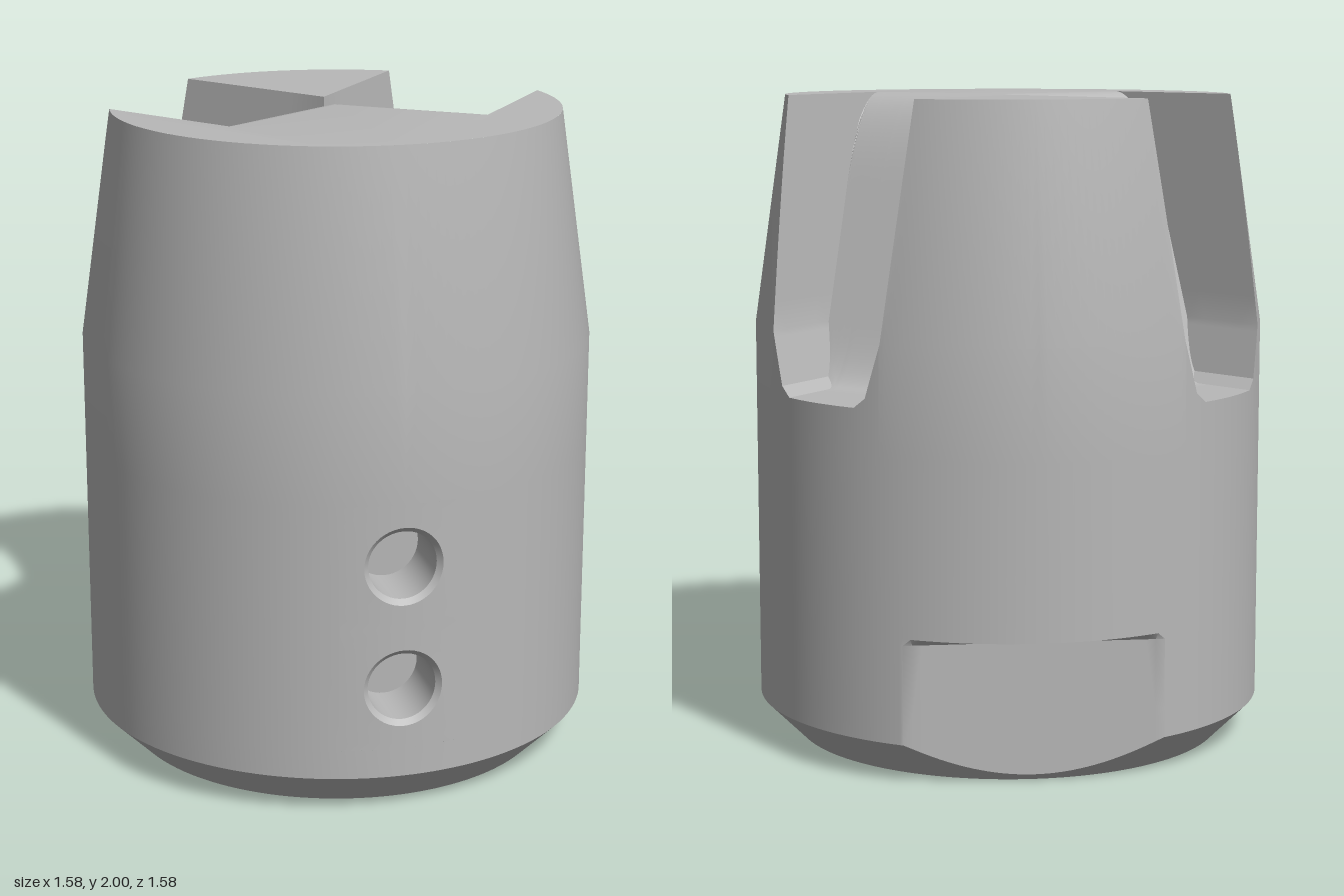
import * as THREE from 'three';
import { mergeGeometries, toCreasedNormals } from 'three/addons/utils/BufferGeometryUtils.js';

const R = 0.79, R_TOP = 0.69, H = 2, SHOULDER = 1.3, CHAMFER = 0.12;
const FLAT_Z = 0.69, FLAT_H = 0.44;           // milled flat at the back
const MID = 0.198, HALF = 0.288, BED = 1.11;  // channel centre offset, half width, bed height
const HOLE_SIDE = 0.19, HOLE_Y = [0.4, 0.78];

const lerp = THREE.MathUtils.lerp;
const steps = (a, b, n) => Array.from({ length: n + 1 }, (_, i) => lerp(a, b, i / n));
const radiusAt = y => y <= SHOULDER ? R : lerp(R, R_TOP, (y - SHOULDER) / (H - SHOULDER));

// Surface through rows of points
function grid(rows) {
  const pos = rows.flat(2), index = [], n = rows[0].length;
  for (let i = 0; i < rows.length - 1; i++)
    for (let j = 0; j < n - 1; j++) {
      const a = i * n + j, b = a + n;
      index.push(a, b, b + 1, a, b + 1, a + 1);
    }
  const g = new THREE.BufferGeometry();
  g.setAttribute('position', new THREE.Float32BufferAttribute(pos, 3));
  g.setIndex(index);
  return g;
}

function plain(g) {
  const out = g.index ? g.toNonIndexed() : g;
  for (const name of Object.keys(out.attributes)) if (name !== 'position') out.deleteAttribute(name);
  return out;
}

// Copy reflected in x, with the corner order turned round
function mirrored(g) {
  const m = plain(g).clone(), p = m.attributes.position;
  const v = [new THREE.Vector3(), new THREE.Vector3(), new THREE.Vector3()];
  for (let i = 0; i < p.count; i += 3) {
    v.forEach((q, k) => q.fromBufferAttribute(p, i + k));
    [0, 2, 1].forEach((k, j) => p.setXYZ(i + j, -v[k].x, v[k].y, v[k].z));
  }
  return m;
}

const join = list => toCreasedNormals(mergeGeometries(list.map(plain)), 0.5);
const bothSides = list => list.flatMap(g => [plain(g), mirrored(g)]);

// Channel bed height along its length: flat top, rounded lip, ramp, level bed
function bedHeight(s) {
  const smin = (a, b, k) => Math.min(a, b) - Math.max(k - Math.abs(a - b), 0) ** 2 / (4 * k);
  const ramp = smin(H, H - 2.6 * (s - 0.1), 0.26);
  return -smin(-ramp, -BED, 0.16);
}

// Channel side wall, as [distance from the middle, height]
const WALL = [[0, BED], [0.14, BED], [0.18, 1.14], [0.232, 1.3], [HALF, H]];
function wallHeight(t) {
  const w = Math.abs(t - MID);
  for (let i = 1; i < WALL.length; i++)
    if (w <= WALL[i][0] + 1e-9)
      return lerp(WALL[i - 1][1], WALL[i][1], (w - WALL[i - 1][0]) / (WALL[i][0] - WALL[i - 1][0]));
  return H;
}
const channelPoint = (s, t, y) => [0.6 * s + 0.8 * t, y, -0.8 * s + 0.6 * t];

function channelRows() {
  const half = [];
  for (let i = 1; i < WALL.length; i++) half.push(...steps(WALL[i - 1][0], WALL[i][0], 8).slice(1));
  const ts = [...half.map(w => MID - w).reverse(), MID, ...half.map(w => MID + w)];
  return ts.map(t => {
    const wall = wallHeight(t);
    const s1 = Math.sqrt(radiusAt(wall) ** 2 - t * t), s0 = Math.max(0, -t * 4 / 3);
    let lo = 0, hi = s1;                       // where the bed runs into the wall
    for (let k = 0; k < 40; k++) {
      const m = (lo + hi) / 2;
      if (bedHeight(m) > wall + 1e-4) lo = m; else hi = m;
    }
    const meet = Math.min(Math.max(lo, s0), s1);
    return [...steps(s0, meet, 24), ...steps(meet, s1, 4).slice(1)]
      .map(s => channelPoint(s, t, Math.max(bedHeight(s), wall)));
  });
}

// One column of the outer wall at an angle measured from the front
function wallColumn(angle, top, from = 0, to = H) {
  const limit = Math.cos(angle) < 0 ? FLAT_Z / -Math.cos(angle) : 9;
  const start = Math.min(CHAMFER, Math.max(0, limit - R + CHAMFER));
  const levels = [[0, 1], [start, 1], [CHAMFER, 1], [0.21, 1], [0.42, 1], [FLAT_H, 1, -0.02], [FLAT_H, 0],
    [0.97, 0], [Math.min(SHOULDER, top), 0], [top, 0]];
  return levels.filter(l => l[0] >= from && l[0] <= to).map(([y, cut, lift = 0]) => {
    let r = y < CHAMFER ? R - CHAMFER + y : radiusAt(y);
    if (cut) r = Math.min(r, limit - lift);
    if (lift) r = Math.min(r, R);
    return [r * Math.sin(angle), y, r * Math.cos(angle)];
  });
}

// Curved square of the front wall with a chamfered blind hole in it
function frontHole(cy) {
  const onWall = x => Math.sqrt(R * R - x * x);
  return grid(steps(0, Math.PI * 2, 48).map(a => {
    const c = Math.cos(a), s = Math.sin(a);
    const edge = HOLE_SIDE / Math.max(Math.abs(c), Math.abs(s));
    const at = (r, z) => [r * c, cy + r * s, z ?? onWall(r * c)];
    return [...steps(edge, 0.12, 4).map(r => at(r)), at(0.104, onWall(0.12 * c) - 0.016),
      at(0.104, 0.57), at(0, 0.57)];
  }));
}

// Flat face from an outline of [x, z] points
function face(points, holes = []) {
  const shape = new THREE.Shape(points.map(([x, z]) => new THREE.Vector2(x, -z)));
  for (const [x, z, r] of holes) shape.holes.push(new THREE.Path().absarc(x, -z, r, 0, Math.PI * 2, true));
  return new THREE.ShapeGeometry(shape, 24).rotateX(-Math.PI / 2);
}

export function createModel() {
  const group = new THREE.Group();
  const steel = new THREE.MeshStandardMaterial({ color: 0xb8b8b8 });
  steel.name = 'steel grey';
  const add = (name, geometry) => {
    const mesh = new THREE.Mesh(geometry, steel);
    mesh.name = name;
    group.add(mesh);
    return mesh;
  };

  const rows = channelRows();
  const rim = rows.map(r => r[r.length - 1]).reverse();
  const rimAngles = rim.map(p => Math.atan2(p[0], p[2]));
  const firstAngle = rimAngles[0], lastAngle = rimAngles[rim.length - 1];
  const holeAngle = Math.asin(HOLE_SIDE / R);

  // Outer wall, with the channel mouths cut into its upper edge
  const columns = [
    ...steps(holeAngle, firstAngle, 28).slice(0, -1).map(a => wallColumn(a, H)),
    ...rim.map((p, i) => wallColumn(rimAngles[i], p[1])),
    ...steps(lastAngle, Math.PI, 16).slice(1).map(a => wallColumn(a, H)),
  ];
  const front = steps(0, holeAngle, 6);
  add('outerWall', join([
    ...bothSides([
      grid(columns),
      grid(front.map(a => wallColumn(a, H, 0, 0.21))),
      grid(front.map(a => wallColumn(a, H, 0.97, H))),
    ]),
    ...HOLE_Y.map(frontHole),
  ]));

  // Top: front land, rear wedge and the two sloping channels
  const arc = (a, b, n) => steps(a, b, n).map(t => [R_TOP * Math.sin(t), R_TOP * Math.cos(t)]);
  const corner = channelPoint(0, MID + HALF, H);
  const land = face([[0, 0], [corner[0], corner[2]], ...arc(firstAngle, 0, 32)]).translate(0, H, 0);
  const wedge = face([[0, -0.15], ...arc(lastAngle, Math.PI, 16)]).translate(0, H, 0);
  add('topAndChannels', join(bothSides([land, wedge, grid(rows)])));

  // Underside and its bores, as [x, z, radius, depth]
  const bores = [[0.33, 0.02, 0.26, 0.8], [-0.13, -0.5, 0.105, 0.4],
    [-0.46, -0.04, 0.09, 0.4], [0.13, 0.5, 0.105, 0.4]];
  const base = R - CHAMFER;
  const circle = steps(0, Math.PI * 2, 96).slice(1).map(a => [base * Math.sin(a), base * Math.cos(a)]);
  const underside = face(circle, bores.map(([x, z, r]) => [x, -z, r])).rotateX(Math.PI);
  add('underside', join([underside]));
  for (const [x, z, r, depth] of bores) {
    const profile = [[0, depth], [r - 0.015, depth], [r - 0.015, 0.015], [r, 0]];
    const lathe = new THREE.LatheGeometry(profile.map(p => new THREE.Vector2(...p)), 48);
    add('bore', join([lathe])).position.set(x, 0, z);
  }
  return group;
}
